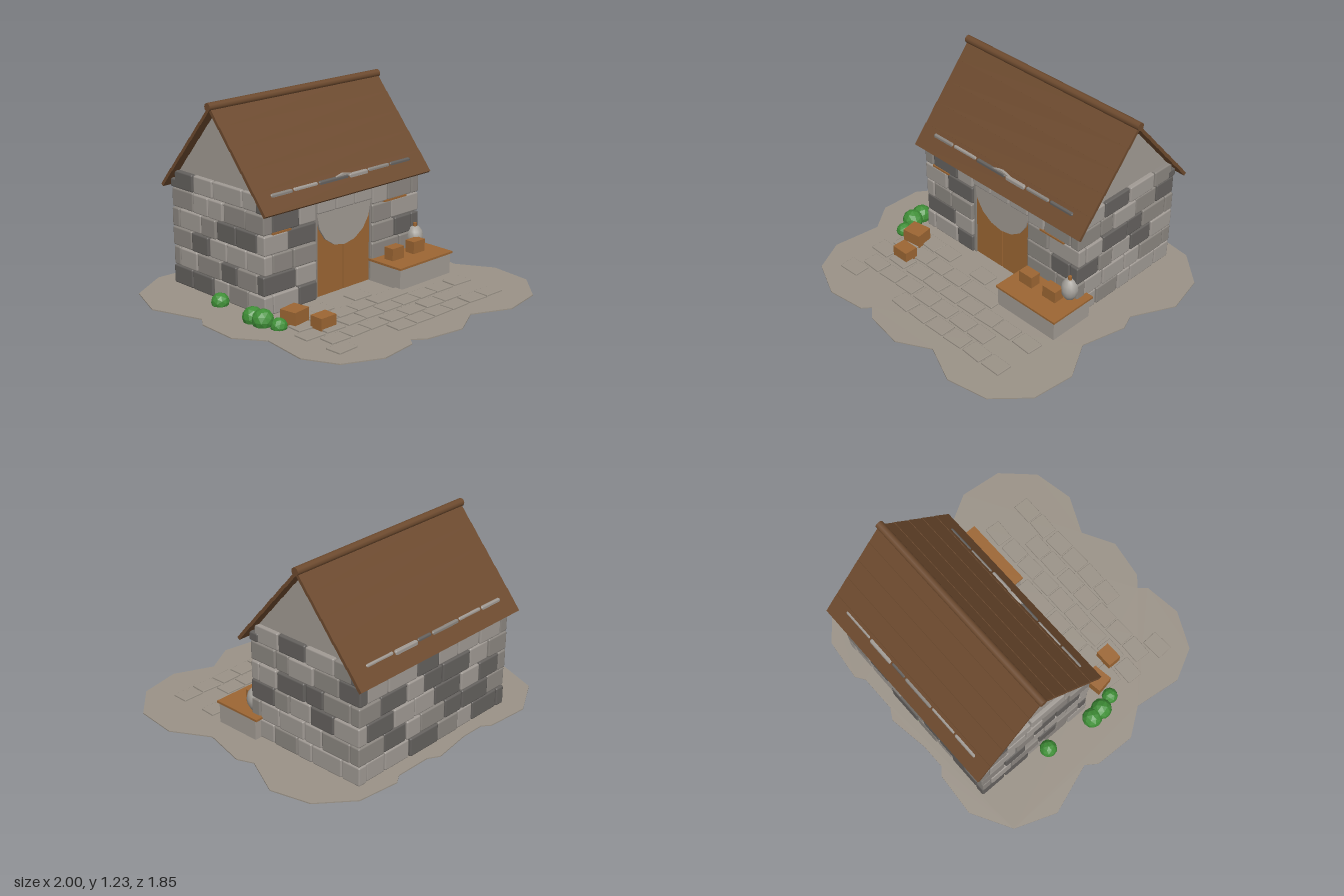
import * as THREE from 'three';
import { RoundedBoxGeometry } from 'three/addons/geometries/RoundedBoxGeometry.js';

const mat = (name, color, flatShading = false) => {
  const m = new THREE.MeshStandardMaterial({ color, flatShading });
  m.name = name;
  return m;
};

export function createModel() {
  const M = {
    ground: mat('ground earth', 0x9a9287),
    plaster: mat('plaster grey', 0xa19a93),
    light: mat('light stone', 0xa09a94),
    mid: mat('mid stone', 0x8b8680),
    dark: mat('dark stone', 0x64615e),
    roof: mat('roof brown', 0x6d4a2e),
    wood: mat('warm wood', 0x9c6633),
    leaf: mat('leaf green', 0x3f8f37, true),
    pot: mat('clay grey', 0xa5a19b),
  };
  const model = new THREE.Group();
  model.name = 'stoneCottage';

  let seed = 11;
  const rnd = () => (seed = (seed * 16807) % 2147483647) / 2147483647;

  const add = (name, geo, m, x, y, z, parent = model) => {
    const mesh = new THREE.Mesh(geo, m);
    mesh.name = name;
    mesh.position.set(x, y, z);
    parent.add(mesh);
    return mesh;
  };
  // Box given by its min and max corners
  const box = (name, m, x0, x1, y0, y1, z0, z1, parent) => add(name,
    new THREE.BoxGeometry(x1 - x0, y1 - y0, z1 - z0), m,
    (x0 + x1) / 2, (y0 + y1) / 2, (z0 + z1) / 2, parent);
  const stone = (m, x0, x1, y0, y1, z0, z1, parent) => add('stone',
    new RoundedBoxGeometry(x1 - x0, y1 - y0, z1 - z0, 1, 0.01), m,
    (x0 + x1) / 2, (y0 + y1) / 2, (z0 + z1) / 2, parent);
  const tone = () => {
    const r = rnd();
    return r < 0.5 ? M.light : r < 0.76 ? M.mid : M.dark;
  };

  // Ground: thin scalloped plate
  const outline = [
    [-.65, -.93], [-.37, -.91], [-.32, -.87], [-.16, -.87], [.1, -.91], [.17, -.87], [.41, -.87], [.47, -.91],
    [.74, -.88], [.94, -.71], [1, -.46], [.87, -.2], [.91, -.1], [.84, .18], [.97, .41], [.94, .68],
    [.76, .87], [.5, .92], [.26, .81], [.06, .92], [-.19, .88], [-.26, .82], [-.3, .87], [-.54, .9],
    [-.77, .79], [-.87, .59], [-.83, .29], [-.95, .12], [-.94, -.14], [-.89, -.21], [-1, -.53], [-.9, -.79],
  ];
  const plate = new THREE.ExtrudeGeometry(
    new THREE.Shape(outline.map(([x, z]) => new THREE.Vector2(x, -z))), { depth: 0.007, bevelEnabled: false });
  plate.rotateX(-Math.PI / 2);
  add('ground', plate, M.ground, 0, 0.034, 0);

  // Paving: staggered rows of flat slabs
  const paving = new THREE.Group();
  paving.name = 'paving';
  model.add(paving);
  [
    [.155, [-.45, -.31, 0]],
    [.28, [-.56, -.4, -.25, -.1, .06, .18]],
    [.4, [-.62, -.46, -.3, -.15, 0, .15, .3, .45, .61]],
    [.53, [-.55, -.4, -.25, -.09, .06, .22, .37]],
    [.65, [-.62, -.15, 0, .15, .3, .46, .61]],
  ].forEach(([z, xs]) => xs.forEach((x) => {
    const slab = add('slab', new RoundedBoxGeometry(.14, .014, .105, 1, .004), M.ground, x, .044, z, paving);
    slab.rotation.y = (rnd() - .5) * .14;
  }));

  // Core: floor, walls and both gables in one pentagon prism
  box('floor', M.dark, -.57, .6, .031, .045, -.74, -.02);
  const gable = new THREE.Shape([[0, .04], [0, .745], [-.38, 1.185], [-.76, .745], [-.76, .04]]
    .map(([z, y]) => new THREE.Vector2(-z, y)));
  const core = new THREE.ExtrudeGeometry(gable, { depth: 1.23, bevelEnabled: false });
  core.rotateY(Math.PI / 2);
  add('wallsAndGables', core, M.plaster, -.6, 0, 0);

  // Stone courses; corner stones interlock on alternate rows
  const masonry = new THREE.Group();
  masonry.name = 'masonry';
  model.add(masonry);
  const course = (a, b, place) => {
    const n = Math.max(1, Math.round((b - a) / .185));
    const cuts = [a];
    for (let i = 1; i < n; i++) cuts.push(a + (b - a) * (i + (rnd() - .5) * .45) / n);
    cuts.push(b);
    for (let i = 0; i < n; i++) place(cuts[i] + .003, cuts[i + 1] - .003, rnd() * .01);
  };
  const X0 = -.63, X1 = .66, Z0 = -.8, Z1 = .04, T = .07;
  for (let row = 0; row < 6; row++) {
    const y0 = .042 + row * .1215, top = row === 5, y1 = top ? .757 : y0 + .117;
    const fi = top ? T : row % 2 ? 0 : T, si = top ? .035 : row % 2 ? T : 0;
    const front = (a, b, j) => stone(tone(), a, b, y0, y1, Z1 - T, Z1 - j - (top ? .008 : 0), masonry);
    const back = (a, b, j) => stone(tone(), a, b, y0, y1, Z0 + j + (top ? .008 : 0), Z0 + T, masonry);
    if (top) course(X0 + fi, X1 - fi, front);
    else {
      course(X0 + fi, -.215, front);
      course(.245, X1 - fi, front);
    }
    course(X0 + fi, X1 - fi, back);
    course(Z0 + si, Z1 - si, (a, b, j) => stone(tone(), X0 + j, X0 + T, y0, y1, a, b, masonry));
    course(Z0 + si, Z1 - si, (a, b, j) => stone(tone(), X1 - T, X1 - j, y0, y1, a, b, masonry));
  }
  // Low corner stones tucked under the eaves
  for (const x of [X0, X1 - T]) for (const z of [Z0, Z1 - T])
    stone(M.dark, x, x + T, .65, .705, z, z + T, masonry);
  // Lintel stones over the door
  [-.205, -.055, .1].forEach((x) => stone(M.light, x, x + .145, .563, .645, -.02, .035, masonry));

  // Door: two leaves, jambs and a round stone panel above
  box('doorLeafLeft', M.wood, .023, .24, .045, .56, -.01, .01);
  box('doorLeafRight', M.wood, -.2, .017, .045, .56, -.01, .01);
  box('doorJamb', M.mid, -.215, -.2, .045, .64, -.01, .02);
  box('doorJamb', M.mid, .24, .25, .045, .64, -.01, .02);
  const disc = new THREE.CylinderGeometry(.22, .22, .016, 16);
  disc.rotateX(Math.PI / 2);
  add('roundDoorPanel', disc, M.plaster, .02, .55, .014);

  // Window lintels peeking out between the courses
  box('windowLintel', M.wood, -.56, -.42, .522, .534, 0, .038);
  box('windowLintel', M.wood, .35, .54, .522, .534, 0, .038);

  // Roof: five boards on each slope, slightly stepped, plus a ridge pole
  const angle = Math.atan2(.55, .47), len = .723;
  for (const s of [1, -1]) {
    const slope = new THREE.Group();
    slope.name = s > 0 ? 'roofFront' : 'roofBack';
    slope.position.set(.02, 1.215, -.38);
    slope.rotation.x = s * angle;
    model.add(slope);
    for (let i = 0; i < 5; i++) {
      const board = add('roofBoard', new THREE.BoxGeometry(1.36, .02, len / 5 + .004), M.roof,
        0, -.011, s * len * (i + .5) / 5, slope);
      board.rotation.x = s * .02;
    }
  }
  const ridge = new THREE.CylinderGeometry(.025, .025, 1.38, 10);
  ridge.rotateZ(Math.PI / 2);
  add('ridgePole', ridge, M.roof, .018, 1.208, -.38);

  // Counter with crates and a pot
  box('counterBase', M.plaster, .245, .695, .032, .172, -.03, .27);
  box('counterTop', M.wood, .235, .705, .17, .183, -.05, .28);
  const crate = (x, y, z, w, h, d, turn = 0) => {
    add('crate', new THREE.BoxGeometry(w, h, d), M.wood, x, y + h / 2, z).rotation.y = turn;
  };
  crate(.352, .18, .118, .1, .08, .07);
  crate(.54, .18, .118, .1, .08, .07);
  crate(-.55, .031, .2, .125, .098, .11, .15);
  crate(-.48, .031, .36, .115, .085, .09);
  const potProfile = [[0, 0], [.03, 0], [.049, .035], [.054, .07], [.046, .105], [.025, .13], [0, .135]]
    .map(([r, y]) => new THREE.Vector2(r, y));
  add('pot', new THREE.LatheGeometry(potProfile, 14), M.pot, .61, .183, .05);
  add('potStopper', new THREE.CylinderGeometry(.012, .012, .03, 8), M.wood, .61, .322, .05);

  // Bushes around the walls
  [
    [-.705, .02, .063], [-.7, .1, .066], [-.67, .2, .05], [-.67, -.31, .055],
    [.59, -.485, .05], [.07, -.74, .05], [-.01, -.74, .052],
  ].forEach(([x, z, r], i) => {
    add('bush', new THREE.IcosahedronGeometry(r, 1), M.leaf, x, r + .004, z).rotation.y = i * .7;
  });
  return model;
}
